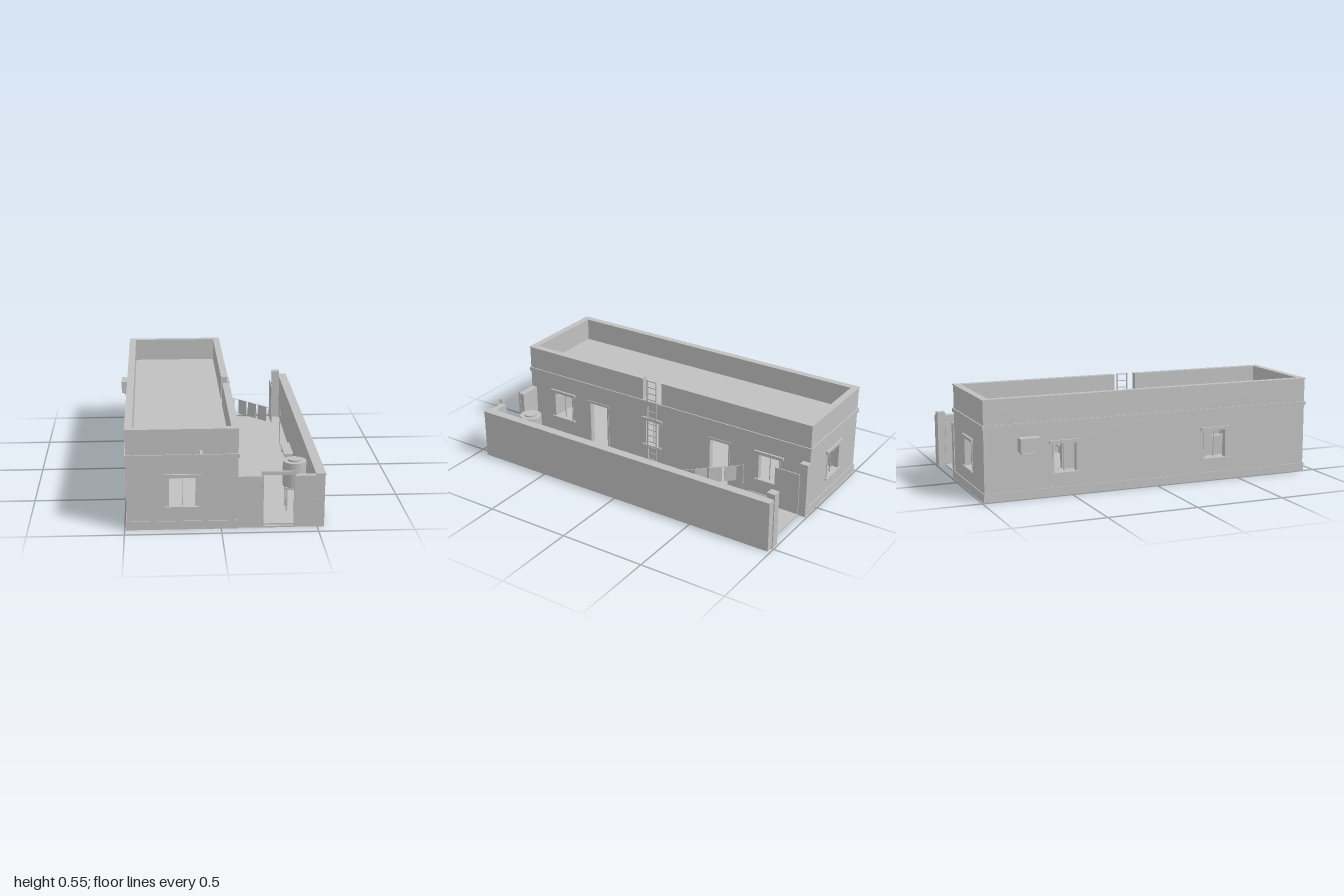
import * as THREE from 'three';

export function createModel() {
  const model = new THREE.Group();
  const plaster = new THREE.MeshStandardMaterial({ color: 0xc0c0c0 });
  plaster.name = 'plain grey';

  const add = (name, geo, parent = model) => {
    const mesh = new THREE.Mesh(geo, plaster);
    mesh.name = name;
    parent.add(mesh);
    return mesh;
  };
  // Box given by its limits on each axis
  const box = (name, x0, x1, y0, y1, z0, z1, parent) => {
    const geo = new THREE.BoxGeometry(x1 - x0, y1 - y0, z1 - z0);
    geo.translate((x0 + x1) / 2, (y0 + y1) / 2, (z0 + z1) / 2);
    return add(name, geo, parent);
  };
  const group = (name) => {
    const g = new THREE.Group();
    g.name = name;
    model.add(g);
    return g;
  };
  // Thin round bar between two points
  const bar = (name, a, b, r, parent) => {
    const path = new THREE.LineCurve3(new THREE.Vector3(...a), new THREE.Vector3(...b));
    return add(name, new THREE.TubeGeometry(path, 1, r, 6), parent);
  };
  // Wall outline with rectangular openings [u0, u1, y0, y1]
  const wallGeo = (outline, openings, depth) => {
    const shape = new THREE.Shape(outline.map((p) => new THREE.Vector2(...p)));
    for (const [u0, u1, y0, y1] of openings) {
      const corners = [[u0, y0], [u0, y1], [u1, y1], [u1, y0]];
      shape.holes.push(new THREE.Path(corners.map((p) => new THREE.Vector2(...p))));
    }
    return new THREE.ExtrudeGeometry(shape, { depth, bevelEnabled: false });
  };

  const X0 = -0.488, X1 = 0.088, Z0 = -0.985, Z1 = 0.935, T = 0.036, TOP = 0.54;
  const SILL = 0.127, HEAD = 0.285;
  const hole = (c, w) => [c - w / 2, c + w / 2, SILL, HEAD];

  // House walls
  const endOutline = [[X0, 0], [X1, 0], [X1, TOP], [X0, TOP]];
  for (const [name, z] of [['frontWall', Z1 - T], ['backWall', Z0]]) {
    add(name, wallGeo(endOutline, [hole(-0.2, 0.155)], T)).position.z = z;
  }
  const A = Z0 + T, B = Z1 - T;
  const westWindows = [0.36, -0.535];
  const eastWindows = [[0.69, 0.145], [0.04, 0.105], [-0.735, 0.145]];
  const doors = [0.425, -0.415];
  const west = add('leftHandWall', wallGeo([[A, 0], [B, 0], [B, TOP], [A, TOP]],
    westWindows.map((c) => hole(c, 0.145)), T));
  const east = add('courtyardSideWall', wallGeo(
    [[A, 0], [B, 0], [B, TOP], [0.105, TOP], [0.105, 0.41], [-0.025, 0.41], [-0.025, TOP], [A, TOP]],
    [...eastWindows.map(([c, w]) => hole(c, w)), ...doors.map((c) => [c - 0.07, c + 0.07, 0.01, 0.29])], T));
  for (const [wall, x] of [[west, X0 + T], [east, X1]]) {
    wall.rotation.y = -Math.PI / 2;
    wall.position.x = x;
  }

  // Floor and roof slabs
  box('houseFloor', X0 + 0.01, X1 - 0.01, 0, 0.008, Z0 + 0.01, Z1 - 0.01);
  box('roofSlab', X0 + 0.01, X1 - 0.01, 0.385, 0.411, Z0 + 0.01, Z1 - 0.01);

  // Bands running round the house
  const ring = (name, y0, y1, out, inset, withEast) => {
    const g = group(name);
    box('frontStrip', X0 - out, X1 + (withEast ? out : 0), y0, y1, Z1 - inset, Z1 + out, g);
    box('backStrip', X0 - out, X1 + (withEast ? out : 0), y0, y1, Z0 - out, Z0 + inset, g);
    box('leftHandStrip', X0 - out, X0 + inset, y0, y1, Z0 + inset, Z1 - inset, g);
    return g;
  };
  ring('plinth', 0, 0.046, 0.005, 0.005, false);
  const band = ring('stringCourse', 0.386, 0.409, 0.007, 0.005, true);
  box('courtyardStrip', X1 - 0.005, X1 + 0.007, 0.386, 0.409, Z0, Z1, band);
  const coping = ring('parapetCoping', 0.539, 0.545, 0.004, T, true);
  box('copingRear', X1 - T, X1 + 0.004, 0.539, 0.545, Z0 + T, -0.025, coping);
  box('copingFront', X1 - T, X1 + 0.004, 0.539, 0.545, 0.105, Z1 - T, coping);

  // Windows: built facing +z, then turned to their wall
  const windowUnit = (x, z, turn, w) => {
    const g = group('window');
    const h = w / 2;
    box('lintel', -h - 0.018, h + 0.018, HEAD, 0.303, -0.01, 0.012, g);
    box('sill', -h - 0.012, h + 0.012, 0.119, SILL, -0.03, 0.012, g);
    for (const s of [-1, 1]) {
      const c = s * (h - 0.004);
      box('jamb', c - 0.005, c + 0.005, SILL, HEAD, -0.03, 0.003, g);
    }
    box('mullion', -0.002, 0.002, SILL, HEAD, -0.02, -0.014, g);
    g.position.set(x, 0, z);
    g.rotation.y = turn;
  };
  windowUnit(-0.2, Z1, 0, 0.155);
  windowUnit(-0.2, Z0, Math.PI, 0.155);
  westWindows.forEach((z) => windowUnit(X0, z, -Math.PI / 2, 0.145));
  eastWindows.forEach(([z, w]) => windowUnit(X1, z, Math.PI / 2, w));

  // Door frames
  for (const z of doors) {
    const g = group('doorFrame');
    for (const s of [-1, 1]) {
      const c = z + s * 0.066;
      box('jamb', X1 - 0.03, X1 + 0.003, 0.008, 0.29, c - 0.005, c + 0.005, g);
    }
    box('header', X1 - 0.03, X1 + 0.004, 0.283, 0.298, z - 0.08, z + 0.08, g);
  }

  // Roof spout and wall cooler
  box('roofSpout', -0.111, -0.098, 0.419, 0.431, Z1 - T, 1.0);
  box('wallCooler', -0.545, X0, 0.26, 0.335, -0.8, -0.69);
  box('coolerBracket', -0.53, X0, 0.247, 0.253, -0.79, -0.70);
  for (const z of [-0.785, -0.71]) box('bracketArm', -0.528, -0.52, 0.25, 0.262, z, z + 0.005);

  // Ladder to the roof
  const ladder = group('ladder');
  for (const z of [0.01, 0.07]) box('rail', X1, 0.096, 0, 0.545, z - 0.003, z + 0.003, ladder);
  for (let y = 0.03; y < 0.54; y += 0.039) box('rung', 0.09, 0.095, y, y + 0.005, 0.01, 0.07, ladder);

  // Courtyard floor and walls
  box('courtyardFloor', 0.105, 0.495, 0, 0.008, -0.95, 0.9);
  box('courtyardSideOuterWall', 0.492, 0.536, 0, 0.285, Z0, Z1);
  box('outerWallCoping', 0.488, 0.54, 0.284, 0.293, Z0, Z1);
  box('courtyardFrontWallInner', X1, 0.217, 0, 0.282, 0.9, Z1 - 0.002);
  box('courtyardFrontWallOuter', 0.38, 0.495, 0, 0.282, 0.9, Z1 - 0.002);
  box('gateLintel', 0.206, 0.39, 0.291, 0.31, 0.928, 0.94);
  for (const x of [0.213, 0.376]) box('gateJamb', x, x + 0.006, 0, 0.291, 0.925, 0.937);
  box('gateSill', 0.217, 0.38, 0, 0.008, 0.928, 0.936);

  // Rear gateway with open leaves
  for (const [x0, x1] of [[0.088, 0.126], [0.445, 0.492]]) box('rearGatePost', x0, x1, 0, 0.322, -0.99, -0.943);
  for (const x of [0.135, 0.43]) box('rearGateLeaf', x - 0.003, x + 0.003, 0.012, 0.26, -0.95, -0.8);

  // Water tank on a stand
  const tank = group('waterTank');
  const cylinder = (name, r, y0, y1) => {
    const geo = new THREE.CylinderGeometry(r, r, y1 - y0, 24);
    geo.translate(0.405, (y0 + y1) / 2, 0.69);
    add(name, geo, tank);
  };
  cylinder('tankBody', 0.063, 0.143, 0.28);
  cylinder('tankLid', 0.036, 0.28, 0.29);
  box('standTop', 0.352, 0.458, 0.132, 0.143, 0.637, 0.743, tank);
  for (const x of [0.357, 0.445]) {
    for (const z of [0.642, 0.73]) box('standLeg', x, x + 0.008, 0, 0.135, z, z + 0.008, tank);
  }

  // Clothes line with hanging cloths
  const from = new THREE.Vector3(0.17, 0.236, -0.62), to = new THREE.Vector3(0.435, 0.236, -0.34);
  const line = group('clothesLine');
  bar('cord', from.toArray(), to.toArray(), 0.0015, line);
  for (const p of [from, to]) bar('post', [p.x, 0, p.z], [p.x, 0.24, p.z], 0.003, line);
  for (const t of [0.19, 0.4, 0.62]) {
    const cloth = add('cloth', new THREE.BoxGeometry(0.068, 0.092, 0.003), line);
    cloth.position.copy(from).lerp(to, t).setY(0.19);
    cloth.rotation.y = -Math.atan2(to.z - from.z, to.x - from.x);
  }

  // Bench and crates along the outer wall
  box('benchSeat', 0.43, 0.485, 0.05, 0.062, -0.235, -0.03);
  for (const z of [-0.225, -0.055]) box('benchLeg', 0.435, 0.48, 0, 0.052, z, z + 0.015);
  box('largeCrate', 0.405, 0.48, 0, 0.075, 0.27, 0.345);
  box('smallCrate', 0.415, 0.48, 0, 0.06, 0.347, 0.41);

  return model;
}
